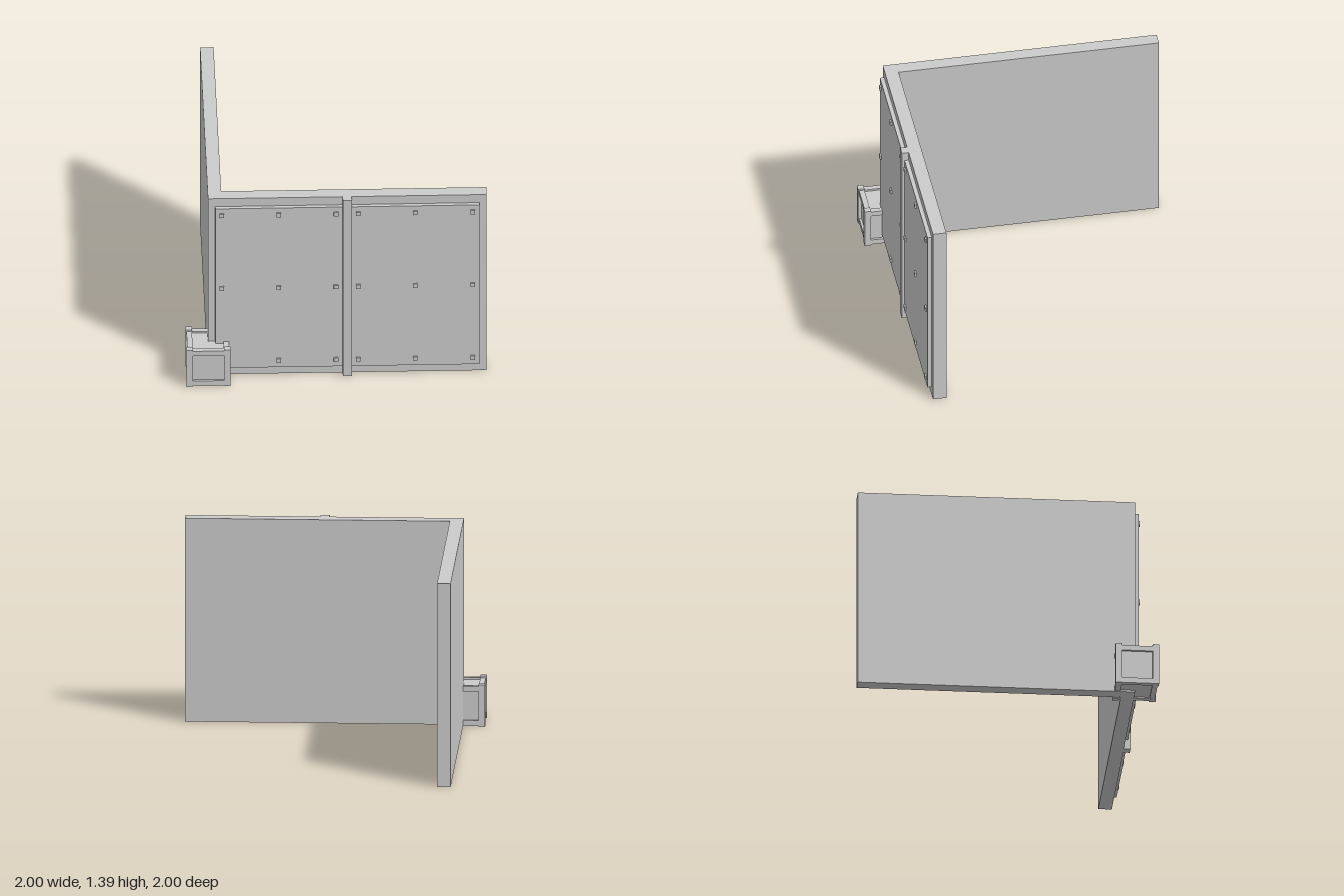
import * as THREE from 'three';

const material = new THREE.MeshStandardMaterial({ color: 0xcccccc, flatShading: true });

// Box given by its lower and upper limits on each axis
function box(parent, name, [x0, x1], [y0, y1], [z0, z1]) {
  const mesh = new THREE.Mesh(new THREE.BoxGeometry(x1 - x0, y1 - y0, z1 - z0), material);
  mesh.position.set((x0 + x1) / 2, (y0 + y1) / 2, (z0 + z1) / 2);
  mesh.name = name;
  parent.add(mesh);
  return mesh;
}

// Wooden crate: recessed core, four corner posts, rails along each side
function createCrate() {
  const crate = new THREE.Group();
  crate.name = 'crate';
  const half = 0.146, post = 0.043, inner = half - post;
  box(crate, 'crateCore', [-0.123, 0.123], [0.012, 0.262], [-0.123, 0.123]);
  for (let i = 0; i < 4; i++) {
    const side = new THREE.Group();
    side.name = 'crateSide';
    side.rotation.y = i * Math.PI / 2;
    box(side, 'cratePost', [inner, half], [0, 0.287], [inner, half]);
    box(side, 'crateLowerRail', [-inner, inner], [0.003, 0.04], [inner, half - 0.007]);
    box(side, 'crateUpperRail', [-inner, inner], [0.24, 0.275], [inner, half - 0.007]);
    crate.add(side);
  }
  crate.position.set(-0.854, 0, 0.852);
  return crate;
}

export function createModel() {
  const model = new THREE.Group();
  model.name = 'cornerWall';
  const height = 1.39;

  // Two walls meeting at a right angle
  box(model, 'frontWall', [-0.853, 1], [0, height], [0.76, 0.85]);
  box(model, 'sideWall', [-0.853, -0.763], [0, height], [-1, 0.76]);

  // Raised cladding plates with a grid of square bolts
  for (const [x0, x1, firstBolt] of [[-0.805, 0.044, -0.763], [0.1, 0.951, 0.145]]) {
    box(model, 'claddingPlate', [x0, x1], [0.067, 1.327], [0.85, 0.878]);
    for (let col = 0; col < 3; col++) {
      for (let row = 0; row < 3; row++) {
        const x = firstBolt + col * 0.38, y = 0.123 + row * 0.576;
        box(model, 'bolt', [x - 0.015, x + 0.015], [y - 0.015, y + 0.015], [0.876, 0.889]);
      }
    }
  }

  // Vertical strip covering the joint between the plates
  box(model, 'jointStrip', [0.042, 0.102], [0, height], [0.85, 0.896]);

  model.add(createCrate());
  return model;
}
